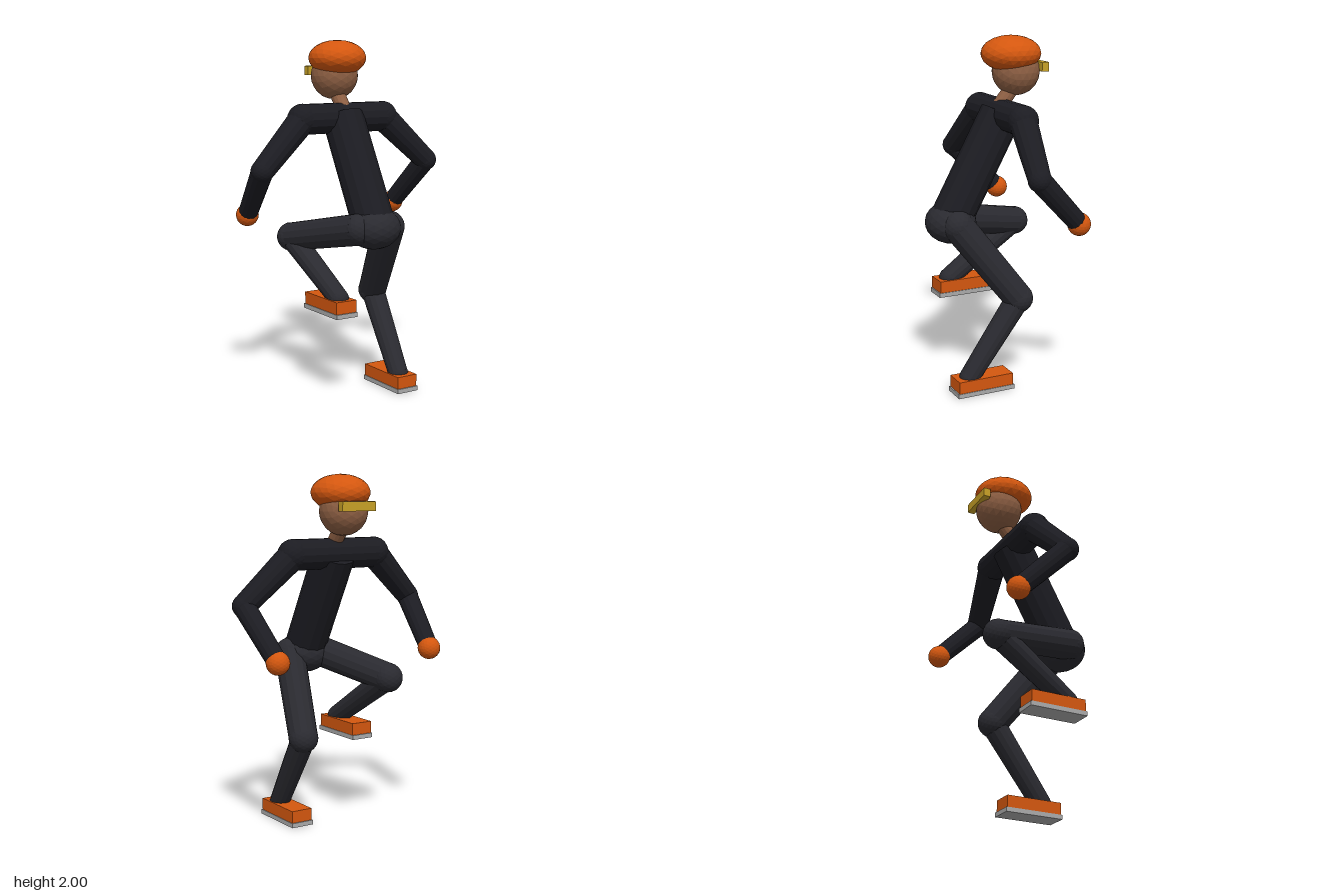
import * as THREE from 'three';

const mat = (color) => new THREE.MeshStandardMaterial({ color, flatShading: true });

export function createModel() {
  const model = new THREE.Group();
  const suit = mat(0x1c1c22), trousers = mat(0x2a2a30), orange = mat(0xd4570f);
  const skin = mat(0x8d5f43), gold = mat(0xc9a227), grey = mat(0xaaaaaa);

  const add = (name, geometry, material, pos) => {
    const mesh = new THREE.Mesh(geometry, material);
    mesh.name = name;
    mesh.position.set(...pos);
    model.add(mesh);
    return mesh;
  };
  // Faceted ball, optionally stretched per axis
  const ball = (name, material, pos, rx, ry = rx, rz = rx) =>
    add(name, new THREE.IcosahedronGeometry(1, 3).scale(rx, ry, rz), material, pos);
  const box = (name, material, pos, size) => add(name, new THREE.BoxGeometry(...size), material, pos);
  // Tapered limb running from point a to point b
  const limb = (name, material, a, b, ra, rb = ra) => {
    const from = new THREE.Vector3(...a), to = new THREE.Vector3(...b);
    const dir = to.clone().sub(from);
    const mesh = add(name, new THREE.CylinderGeometry(rb, ra, dir.length(), 14), material,
      from.add(to).multiplyScalar(0.5).toArray());
    mesh.quaternion.setFromUnitVectors(new THREE.Vector3(0, 1, 0), dir.normalize());
  };

  // Head, cap and visor (the figure looks towards -z)
  ball('head', skin, [0, 1.797, -0.178], 0.136);
  ball('cap', orange, [0, 1.898, -0.147], 0.163, 0.102, 0.173);
  box('visor', gold, [0, 1.825, -0.309], [0.22, 0.052, 0.042]);
  limb('neck', skin, [0, 1.58, -0.055], [0, 1.71, -0.16], 0.043);

  // Trunk
  limb('torso', suit, [0, 0.98, 0.23], [0, 1.562, -0.087], 0.12);
  limb('shoulders', suit, [-0.27, 1.56, -0.085], [0.27, 1.56, -0.085], 0.087);
  ball('pelvis', trousers, [0, 0.965, 0.23], 0.155, 0.12, 0.145);

  // Arms, mirrored
  for (const s of [1, -1]) {
    const side = s > 0 ? 'left' : 'right';
    const shoulder = [s * 0.27, 1.56, -0.085];
    const elbow = [s * 0.555, 1.292, -0.038];
    const hand = [s * 0.507, 1.012, -0.311];
    ball(side + 'Shoulder', suit, shoulder, 0.088);
    limb(side + 'UpperArm', suit, shoulder, elbow, 0.08, 0.064);
    ball(side + 'Elbow', suit, elbow, 0.065);
    limb(side + 'Forearm', suit, elbow, hand, 0.062, 0.055);
    ball(side + 'Hand', orange, hand, 0.065);
  }

  // Legs: the left one stands, the right one is lifted
  const legs = [
    { side: 'left', s: 1, knee: [0.213, 0.53, -0.095], ankle: [0.19, 0.09, 0.205], ground: 0, z: 0.127 },
    { side: 'right', s: -1, knee: [-0.23, 0.862, -0.29], ankle: [-0.19, 0.572, 0.16], ground: 0.477, z: 0.073 },
  ];
  for (const { side, s, knee, ankle, ground, z } of legs) {
    const hip = [s * 0.1, 0.965, 0.23];
    ball(side + 'Hip', trousers, hip, 0.09);
    limb(side + 'Thigh', trousers, hip, knee, 0.09, 0.083);
    ball(side + 'Knee', trousers, knee, 0.084);
    limb(side + 'Shin', trousers, knee, ankle, 0.07, 0.058);
    ball(side + 'Ankle', trousers, ankle, 0.058);
    box(side + 'Shoe', orange, [s * 0.19, ground + 0.06, z], [0.13, 0.07, 0.335]);
    box(side + 'Sole', grey, [s * 0.19, ground + 0.013, z], [0.138, 0.026, 0.35]);
  }
  return model;
}
